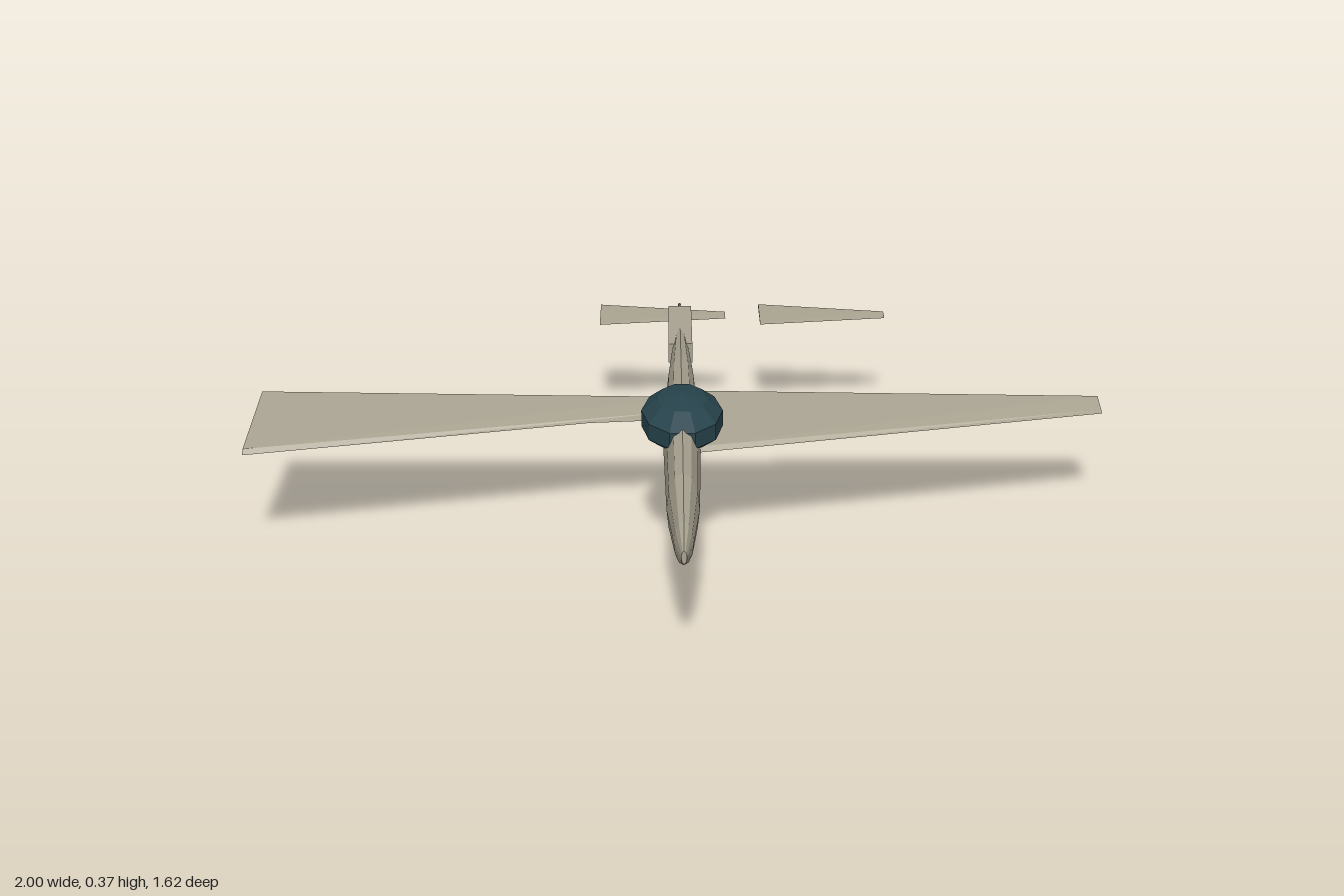
import * as THREE from 'three';

const paint = new THREE.MeshStandardMaterial({ color: 0xa8a290, flatShading: true });
const glass = new THREE.MeshStandardMaterial({ color: 0x27434c, flatShading: true });

// Faceted skin through equal-sized rings of [x, y, z] points, with closed ends
function loft(rings) {
  const n = rings[0].length;
  const tris = [];
  for (let r = 0; r < rings.length - 1; r++) {
    for (let i = 0; i < n; i++) {
      const j = (i + 1) % n;
      const [a, b, c, d] = [rings[r][i], rings[r][j], rings[r + 1][j], rings[r + 1][i]];
      tris.push([a, b, c], [a, c, d]);
    }
  }
  const last = rings[rings.length - 1];
  for (let i = 1; i < n - 1; i++) {
    tris.push([rings[0][0], rings[0][i + 1], rings[0][i]], [last[0], last[i], last[i + 1]]);
  }
  // Turn every face outward if the enclosed volume comes out negative
  const volume = tris.reduce((sum, t) => {
    const [a, b, c] = t.map((p) => new THREE.Vector3(...p));
    return sum + a.dot(b.cross(c));
  }, 0);
  if (volume < 0) tris.forEach((t) => t.reverse());
  const geometry = new THREE.BufferGeometry();
  geometry.setAttribute('position', new THREE.Float32BufferAttribute(tris.flat(2), 3));
  geometry.computeVertexNormals();
  return geometry;
}

// Flat-bottomed aerofoil section: blunt nose, ridge near the back, sharp trailing edge
function foil(x, y, front, ridge, back, height) {
  return [
    [x, y, front],
    [x, y + height * 0.25, front - 0.012],
    [x, y + height, ridge],
    [x, y, back],
  ];
}

export function createModel() {
  const model = new THREE.Group();
  const add = (name, geometry, material = paint) => {
    const mesh = new THREE.Mesh(geometry, material);
    mesh.name = name;
    model.add(mesh);
    return mesh;
  };

  // Slim fuselage: z, centre height, half width, half height
  const stations = [
    [0.81, 0.245, 0.006, 0.015],
    [0.73, 0.242, 0.021, 0.051],
    [0.557, 0.242, 0.036, 0.086],
    [0.2, 0.241, 0.043, 0.102],
    [-0.2, 0.241, 0.034, 0.08],
    [-0.55, 0.242, 0.016, 0.038],
    [-0.81, 0.243, 0.005, 0.013],
  ];
  add('fuselage', loft(stations.map(([z, y, w, h]) =>
    Array.from({ length: 12 }, (_, i) => {
      const a = (i / 12) * Math.PI * 2;
      return [Math.cos(a) * w, y + Math.sin(a) * h, z];
    }))));

  // Faceted canopy
  const canopy = add('canopy', new THREE.SphereGeometry(1, 10, 5), glass);
  canopy.scale.set(0.098, 0.061, 0.158);
  canopy.position.set(0, 0.313, 0.195);

  // Wings and tailplanes repeat one shape on both sides, tapering toward +x
  const wing = loft([
    foil(0, 0.246, 0.25, -0.05, -0.1, 0.042),
    foil(1, 0.246, 0, -0.07, -0.1, 0.018),
  ]);
  add('leftWing', wing);
  add('rightWing', wing).position.x = -1;

  const tailplane = loft([
    foil(0, 0.262, -0.61, -0.75, -0.77, 0.009),
    foil(0.33, 0.262, -0.66, -0.7, -0.71, 0.005),
  ]);
  add('leftTailplane', tailplane).position.x = 0.21;
  add('rightTailplane', tailplane).position.x = -0.21;

  // Thin fillet at the narrow inner end of the right wing
  add('wingFillet', loft([
    foil(-0.4, 0.245, 0.07, -0.05, -0.1, 0.012),
    foil(0, 0.245, 0.03, -0.06, -0.1, 0.012),
  ]));

  // Tail block
  add('tailBlock', new THREE.BoxGeometry(0.06, 0.051, 0.3)).position.set(0, 0.2575, -0.55);

  // Fin hanging below the tail, a thin diamond in section
  const finSection = (y, front, back, w) => {
    const middle = (front + back) / 2;
    return [[0, y, front], [w, y, middle], [0, y, back], [-w, y, middle]];
  };
  add('fin', loft([
    finSection(0.25, -0.557, -0.812, 0.005),
    finSection(0, -0.643, -0.722, 0.002),
  ]));

  return model;
}
